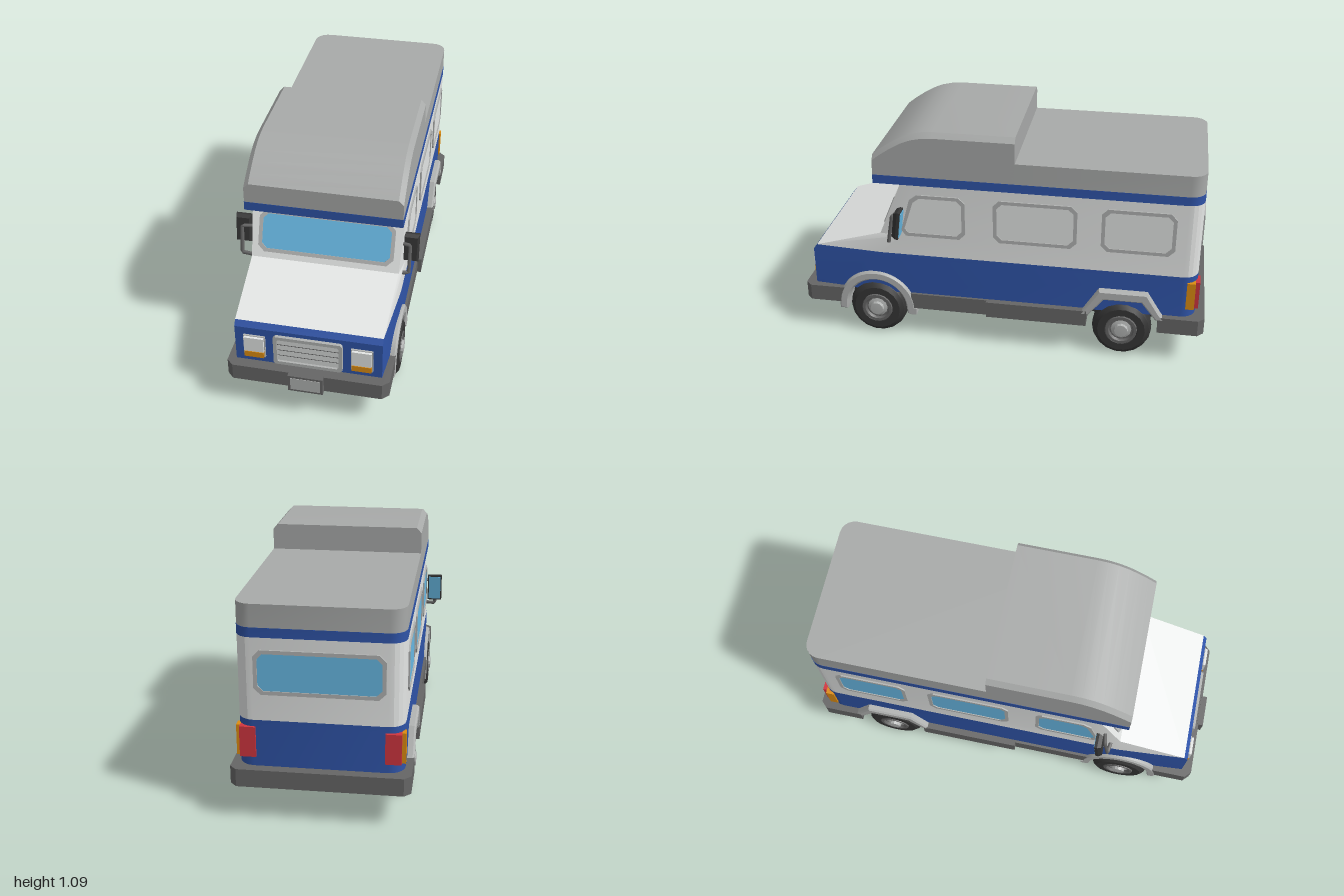
import * as THREE from 'three';
import { toCreasedNormals } from 'three/addons/utils/BufferGeometryUtils.js';

const mat = (name, color) => {
  const m = new THREE.MeshStandardMaterial({ color });
  m.name = name;
  return m;
};

export function createModel() {
  const white = mat('white paint', 0xe4e6e5), blue = mat('blue paint', 0x2f54a8), roofGrey = mat('roof grey', 0xa8aaa9);
  const glass = mat('glass', 0x68b9e4), trim = mat('light trim', 0xb2b4b3), dark = mat('bumper grey', 0x666666);
  const black = mat('rubber', 0x363636), red = mat('red lens', 0xd0353f), amber = mat('amber lens', 0xdd8c12);

  const model = new THREE.Group();
  model.name = 'camperVan';
  const van = new THREE.Group();
  van.name = 'van';
  van.position.x = 0.012;
  model.add(van);

  const add = (name, geo, material, x = 0, y = 0, z = 0, parent = van) => {
    const m = new THREE.Mesh(geo, material);
    m.name = name;
    m.position.set(x, y, z);
    parent.add(m);
    return m;
  };
  const box = (name, w, h, d, material, x, y, z, parent) =>
    add(name, new THREE.BoxGeometry(w, h, d), material, x, y, z, parent);

  // Closed skin over matching rings of [x, y, z], wound outwards
  const loft = (rings, crease = 0.5) => {
    const n = rings[0].length, pos = rings.flat(2), tris = [];
    for (let r = 0; r < rings.length - 1; r++) for (let i = 0; i < n; i++) {
      const a = r * n + i, b = r * n + (i + 1) % n;
      tris.push([a, b, b + n], [a, b + n, a + n]);
    }
    const e = (rings.length - 1) * n;
    for (let i = 1; i < n - 1; i++) tris.push([0, i + 1, i], [e, e + i, e + i + 1]);
    const p = i => new THREE.Vector3().fromArray(pos, i * 3);
    const volume = tris.reduce((s, [a, b, c]) => s + p(a).dot(p(b).cross(p(c))), 0);
    const g = new THREE.BufferGeometry();
    g.setAttribute('position', new THREE.Float32BufferAttribute(pos, 3));
    g.setIndex((volume < 0 ? tris.map(([a, b, c]) => [a, c, b]) : tris).flat());
    return toCreasedNormals(g, crease);
  };

  // Plan outline at height y: front corner, shoulder, rounded rear corner, mirrored
  const plan = (y, fx, fz, sz, half = 0.36, rear = -0.954, r = 0.07, steps = 5) => {
    const side = [[fx, y, fz], [half, y, sz]];
    for (let i = 0; i <= steps; i++) {
      const a = i / steps * Math.PI / 2;
      side.push([half - r + r * Math.cos(a), y, rear + r - r * Math.sin(a)]);
    }
    return [...side, ...side.map(([x, h, z]) => [-x, h, z]).reverse()];
  };

  // Body shell
  add('lowerBody', loft([plan(0.235, 0.335, 0.925, 0.6), plan(0.43, 0.335, 0.925, 0.6), plan(0.455, 0.335, 0.906, 0.573)]), blue);
  add('upperBody', loft([plan(0.455, 0.335, 0.906, 0.573), plan(0.555, 0.345, 0.573, 0.47), plan(0.83, 0.357, 0.46, 0.4)], 0.3), white);
  add('roofStripe', loft([plan(0.828, 0.361, 0.591, 0.5, 0.361, -0.955), plan(0.871, 0.361, 0.591, 0.5, 0.361, -0.955)]), blue);
  add('lowRoof', loft([plan(0.87, 0.36, 0.2, 0), plan(0.973, 0.36, 0.2, 0)]), roofGrey);
  const station = ([z, h]) => [[-0.36, 0.868, z], [-0.36, h - 0.024, z], [-0.337, h, z],
    [0.337, h, z], [0.36, h - 0.024, z], [0.36, 0.868, z]];
  add('overcabRoof', loft([[0.59, 0.967], [0.55, 0.998], [0.5, 1.032], [0.45, 1.061], [0.4, 1.081],
    [0.35, 1.092], [0.3, 1.096], [-0.086, 1.096]].map(station)), roofGrey);

  // Chamfered window: frame with a pane behind it, facing local +z
  const outline = (Type, w, h, c, left, right) => {
    const xl = y => -w / 2 + left * (y / h + 0.5), xr = y => w / 2 - right * (y / h + 0.5);
    const t = h / 2, k = t - c;
    return new Type([[xl(-t) + c, -t], [xr(-t) - c, -t], [xr(-k), -k], [xr(k), k], [xr(t) - c, t],
      [xl(t) + c, t], [xl(k), k], [xl(-k), -k]].map(p => new THREE.Vector2(...p)));
  };
  const windowUnit = (name, w, h, pane, left = 0, right = 0, t = 0.017) => {
    const g = new THREE.Group();
    g.name = name;
    const frame = outline(THREE.Shape, w, h, 0.03, left, right);
    frame.holes.push(outline(THREE.Path, w - 2 * t, h - 2 * t, 0.024, left, right));
    add(name + 'Frame', new THREE.ExtrudeGeometry(frame, { depth: 0.012, bevelEnabled: false }), trim, 0, 0, -0.005, g);
    add(name + 'Pane', new THREE.ShapeGeometry(outline(THREE.Shape, w - t, h - t, 0.026, left, right)), pane, 0, 0, 0.003, g);
    van.add(g);
    return g;
  };
  const windscreen = windowUnit('windscreen', 0.634, 0.2, glass);
  windscreen.position.set(0, 0.675, 0.524);
  windscreen.rotation.x = -0.392;
  const rearWindow = windowUnit('rearWindow', 0.56, 0.2, glass);
  rearWindow.position.set(0, 0.675, -0.954);
  rearWindow.rotation.y = Math.PI;
  for (const s of [1, -1]) {
    const pane = s > 0 ? white : glass;
    for (const [name, z0, z1, slant] of [['cabWindow', 0.47, 0.15, 0.06], ['middleWindow', 0.016, -0.38, 0], ['backWindow', -0.493, -0.836, 0]]) {
      const w = windowUnit(name, z0 - z1, 0.22, pane, s > 0 ? slant : 0, s < 0 ? slant : 0);
      w.position.set(s * 0.36, 0.672, (z0 + z1) / 2);
      w.rotation.y = s * Math.PI / 2;
    }
  }

  // Bumpers and side skirts, with an underfloor plate
  const slab = (name, z0, z1, h0, h1, c0 = 0, c1 = 0) => {
    const ring = y => [[h0 - c0, y, z0], [h0, y, z0 - c0], [h1, y, z1 + c1], [h1 - c1, y, z1],
      [c1 - h1, y, z1], [-h1, y, z1 + c1], [-h0, y, z0 - c0], [c0 - h0, y, z0]];
    add(name, loft([ring(0.158), ring(0.24)], 0.2), dark);
  };
  slab('frontBumper', 0.975, 0.77, 0.373, 0.373, 0.03);
  slab('frontSkirt', 0.43, 0.05, 0.373, 0.373);
  slab('rearSkirt', 0.05, -0.44, 0.392, 0.392);
  slab('rearBumper', -0.78, -1, 0.392, 0.392, 0, 0.03);
  box('chassis', 0.5, 0.08, 1.86, black, 0, 0.195, -0.01);
  for (const [z, d] of [[0.85, 0.13], [0, 0.82], [-0.87, 0.16]]) box('underfloor', 0.68, 0.008, d, black, 0, 0.157, z);
  box('crossBar', 0.75, 0.035, 0.03, trim, 0, 0.138, 0.42);

  // Grille
  const grille = outline(THREE.Shape, 0.314, 0.16, 0.01, 0, 0);
  grille.holes.push(outline(THREE.Path, 0.28, 0.126, 0.006, 0, 0));
  add('grilleFrame', new THREE.ExtrudeGeometry(grille, { depth: 0.02, bevelEnabled: false }), trim, 0, 0.33, 0.92);
  box('grilleBack', 0.285, 0.13, 0.006, dark, 0, 0.33, 0.926);
  for (let i = 0; i < 4; i++) box('grilleSlat', 0.28, 0.02, 0.01, trim, 0, 0.283 + i * 0.031, 0.93).rotation.x = -0.4;

  // Blank front plate
  box('plateHolder', 0.16, 0.088, 0.03, dark, 0, 0.199, 0.983);
  box('plate', 0.136, 0.066, 0.004, trim, 0, 0.199, 0.998);

  // Wheel: tyre, rim and hub turned on one axis
  const turned = (pts, seg) => toCreasedNormals(new THREE.LatheGeometry(pts.map(p => new THREE.Vector2(...p)), seg).rotateZ(-Math.PI / 2), 0.5);
  const tyreGeo = turned([[0, -0.055], [0.115, -0.055], [0.135, -0.04], [0.143, -0.02], [0.143, 0.02],
    [0.135, 0.04], [0.115, 0.055], [0.08, 0.055], [0.075, 0.04], [0, 0.04]], 18);
  const rimGeo = turned([[0.078, 0.04], [0.075, 0.058], [0.062, 0.058], [0.056, 0.045], [0, 0.045]], 18);
  const hubGeo = turned([[0.05, 0.045], [0.034, 0.05], [0.032, 0.066], [0, 0.068]], 12);

  // Front arch is a half ring, rear arch is angular
  const frontArch = new THREE.Shape();
  frontArch.absarc(0, 0.15, 0.195, 0, Math.PI, false);
  frontArch.lineTo(-0.195, 0.12);
  frontArch.lineTo(-0.155, 0.12);
  frontArch.absarc(0, 0.15, 0.15, Math.PI, 0, true);
  frontArch.lineTo(0.155, 0.12);
  frontArch.lineTo(0.195, 0.12);
  const rearArch = new THREE.Shape([[-0.205, 0.22], [-0.18, 0.255], [-0.115, 0.36], [0.115, 0.36], [0.18, 0.255], [0.205, 0.22],
    [0.16, 0.22], [0.09, 0.31], [-0.09, 0.31], [-0.16, 0.22]].map(p => new THREE.Vector2(...p)));
  const archGeo = shape => toCreasedNormals(new THREE.ExtrudeGeometry(shape,
    { depth: 0.09, bevelEnabled: true, bevelSegments: 1, bevelSize: 0.008, bevelOffset: -0.008, bevelThickness: 0.008, curveSegments: 12 })
    .translate(0, 0, -0.098).rotateY(Math.PI / 2), 0.5);
  const frontArchGeo = archGeo(frontArch), rearArchGeo = archGeo(rearArch);

  for (const s of [1, -1]) {
    const turn = m => { m.rotation.y = s > 0 ? 0 : Math.PI; return m; };
    for (const [name, z, geo, half] of [['front', 0.605, frontArchGeo, 0.375], ['rear', -0.61, rearArchGeo, 0.392]]) {
      const wheel = new THREE.Group();
      wheel.name = name + 'Wheel';
      wheel.position.set(s * 0.322, 0.143, z);
      add('tyre', tyreGeo, black, 0, 0, 0, wheel);
      add('rim', rimGeo, dark, 0, 0, 0, wheel);
      add('hub', hubGeo, trim, 0, 0, 0, wheel);
      van.add(turn(wheel));
      turn(add(name + 'WheelArch', geo, trim, s * half, 0, z));
    }

    // Headlamps and tail lamps
    box('headlampBezel', 0.1, 0.118, 0.012, trim, s * 0.245, 0.333, 0.928);
    box('headlampLens', 0.09, 0.078, 0.02, white, s * 0.245, 0.35, 0.936);
    box('turnSignal', 0.09, 0.03, 0.02, amber, s * 0.245, 0.293, 0.936);
    box('tailLamp', 0.07, 0.14, 0.055, red, s * 0.313, 0.355, -0.937);
    box('sideLamp', 0.06, 0.14, 0.04, amber, s * 0.335, 0.355, -0.925);

    // Door mirror on its bracket
    const out = s > 0 ? 0 : 0.022;
    const mirror = new THREE.Group();
    mirror.name = 'mirror';
    mirror.position.set(s * (0.385 + out), 0.637, 0.472);
    mirror.rotation.x = -0.12;
    add('mirrorHousing', loft([[0.03, 0.06, 0.018], [0.037, 0.071, 0], [0.037, 0.071, -0.014]].map(([w, h, z]) =>
      [[-w, 1 - h], [w, 1 - h], [w, h - 1], [-w, h - 1]].map(([x], i) => [x, i < 2 ? -h : h, z])), 0.2), black, 0, 0, 0, mirror);
    box('mirrorGlass', 0.062, 0.126, 0.004, glass, 0, 0, -0.015, mirror);
    van.add(mirror);
    const path = new THREE.CurvePath();
    const pts = [[0.345, 0.668, 0.49], [0.385 + out, 0.668, 0.5], [0.385 + out, 0.53, 0.522], [0.35, 0.53, 0.53]]
      .map(([x, y, z]) => new THREE.Vector3(s * x, y, z));
    for (let i = 0; i < 3; i++) path.add(new THREE.LineCurve3(pts[i], pts[i + 1]));
    add('mirrorBracket', new THREE.TubeGeometry(path, 24, 0.009, 6), dark);
  }
  return model;
}
